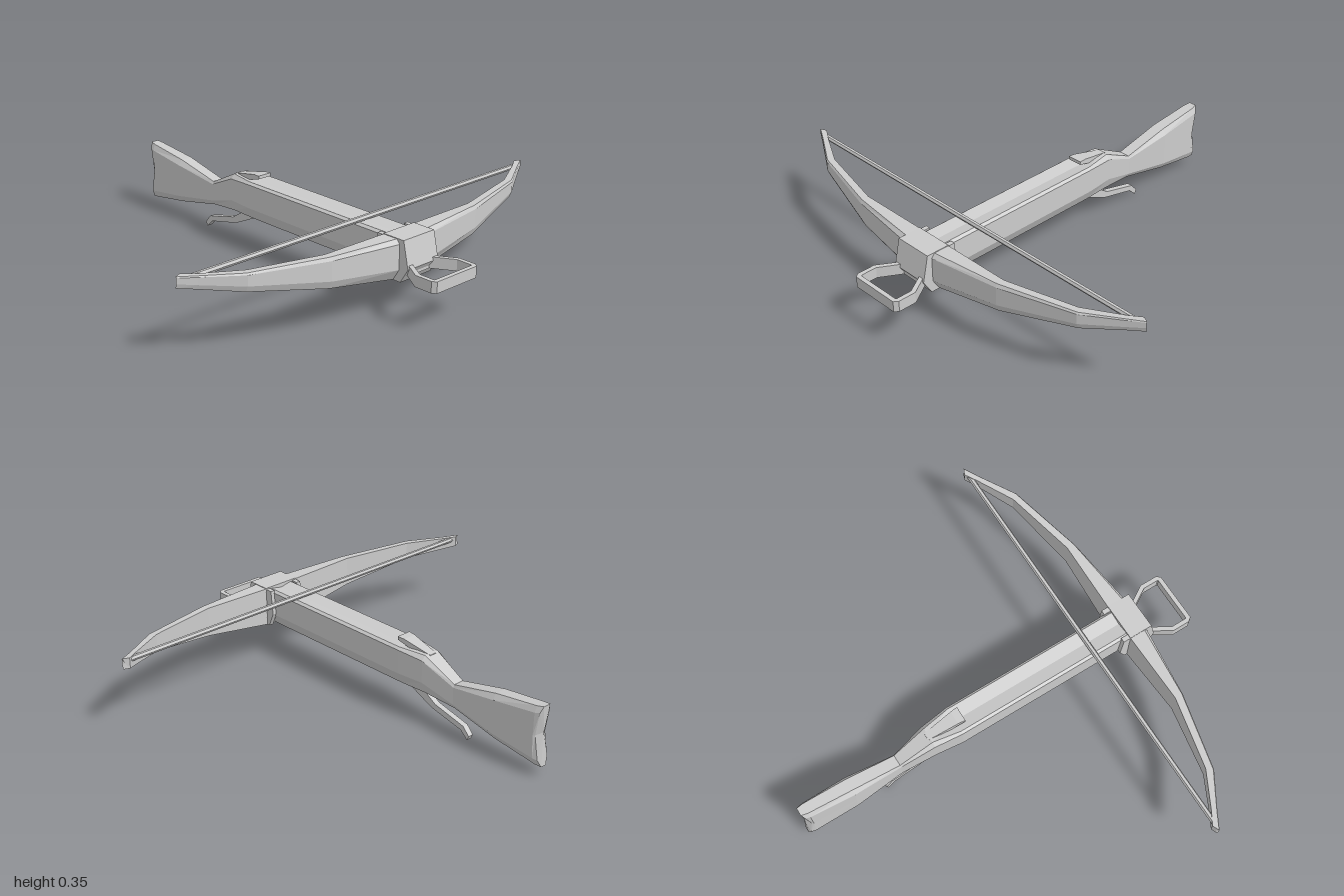
import * as THREE from 'three';

const material = new THREE.MeshStandardMaterial({ color: 0xcccccc, flatShading: true });

function part(name, geometry) {
  const mesh = new THREE.Mesh(geometry, material);
  mesh.name = name;
  return mesh;
}

// Skin between equal-length rings, closed with a fan at both ends.
// Rings run counter-clockwise as seen from the first ring's side.
function loft(rings) {
  const pos = [];
  const tri = (a, b, c) => [a, b, c].forEach((p) => pos.push(...p));
  const centre = (ring) => [0, 1, 2].map((k) => ring.reduce((s, p) => s + p[k], 0) / ring.length);
  const n = rings[0].length;
  const first = rings[0], last = rings[rings.length - 1];
  const c0 = centre(first), c1 = centre(last);
  for (let j = 0; j < n; j++) {
    const k = (j + 1) % n;
    for (let i = 0; i + 1 < rings.length; i++) {
      const a = rings[i][j], b = rings[i][k], c = rings[i + 1][k], d = rings[i + 1][j];
      tri(a, d, c);
      tri(a, c, b);
    }
    tri(c0, first[j], first[k]);
    tri(c1, last[k], last[j]);
  }
  const geo = new THREE.BufferGeometry();
  geo.setAttribute('position', new THREE.Float32BufferAttribute(pos, 3));
  geo.computeVertexNormals();
  return geo;
}

// Side outline given as [z, y], thickened across x.
function sideProfile(points, width) {
  const shape = new THREE.Shape(points.map(([z, y]) => new THREE.Vector2(z, y)));
  return new THREE.ExtrudeGeometry(shape, { depth: width, bevelEnabled: false })
    .translate(0, 0, -width / 2)
    .rotateY(-Math.PI / 2);
}

function stock() {
  // z, half width, half width of top, of bottom, y of top, upper edge, lower edge, bottom, groove, butt hollow
  const sections = [
    [0.72, 0.07, 0.058, 0.042, 0.32, 0.31, 0.2, 0.145, 0.012, 0],
    [-0.2, 0.07, 0.058, 0.042, 0.32, 0.31, 0.2, 0.145, 0.012, 0],
    [-0.33, 0.055, 0.036, 0.035, 0.32, 0.3, 0.198, 0.145, 0, 0],
    [-0.49, 0.032, 0.026, 0.018, 0.24, 0.228, 0.148, 0.126, 0, 0],
    [-0.72, 0.045, 0.028, 0.026, 0.29, 0.265, 0.112, 0.082, 0, 0],
    [-0.93, 0.036, 0.024, 0.02, 0.315, 0.288, 0.082, 0.049, 0, 0.005],
    [-0.96, 0.03, 0.018, 0.014, 0.32, 0.292, 0.078, 0.045, 0, 0.027],
  ];
  return loft(sections.map(([z, w, wt, wb, top, up, low, bot, groove, hollow]) => {
    const mid = (up + low) / 2;
    const zs = z + hollow * 0.35, zm = z + hollow;
    const right = [[wb, bot, z], [w, low, zs], [w, mid, zm], [w, up, zs], [wt, top, z]];
    const left = right.map(([x, y, zz]) => [-x, y, zz]).reverse();
    return [...right, [0, top - groove, z], ...left];
  }));
}

function bow() {
  // front x, front z, back x, back z, y of top, front edge, bottom
  const half = [
    [0.08, 0.735, 0.08, 0.645, 0.325, 0.195, 0.145],
    [0.42, 0.692, 0.42, 0.65, 0.33, 0.23, 0.196],
    [0.77, 0.605, 0.75, 0.575, 0.338, 0.285, 0.26],
    [0.93, 0.508, 0.915, 0.487, 0.343, 0.307, 0.288],
    [0.998, 0.469, 0.97, 0.453, 0.347, 0.318, 0.299],
  ];
  const ring = ([xf, zf, xb, zb, top, mid, bot], side) => {
    const lip = 0.35 * (zf - zb);
    const crown = (top - mid) * 0.15;
    return [[xb, bot, zb], [xf, bot, zf - lip], [xf, mid, zf], [xf, top - crown, zf],
      [xf, top, zf - lip * 0.5], [xb, top, zb]].map(([x, y, z]) => [x * side, y, z]);
  };
  return loft([
    ...half.slice().reverse().map((s) => ring(s, -1)),
    ...half.map((s) => ring(s, 1)),
  ]);
}

function stirrup() {
  const outline = (points) => [...points, ...points.map(([x, z]) => [-x, z]).reverse()]
    .map(([x, z]) => new THREE.Vector2(x, z));
  const shape = new THREE.Shape(outline([
    [0.066, 0.755], [0.13, 0.858], [0.13, 0.942], [0.116, 0.96]]));
  shape.holes.push(new THREE.Path(outline([
    [0.052, 0.768], [0.11, 0.864], [0.11, 0.936], [0.107, 0.94]])));
  return new THREE.ExtrudeGeometry(shape, { depth: 0.05, bevelEnabled: false })
    .rotateX(Math.PI / 2)
    .translate(0, 0.225, 0);
}

function nut() {
  // Tapered catch with its nose lifted clear of the stock
  const geo = sideProfile([[-0.165, 0.35], [-0.2, 0.348], [-0.34, 0.318], [-0.34, 0.305],
    [-0.24, 0.312], [-0.2, 0.325], [-0.165, 0.335]], 0.07);
  const p = geo.attributes.position;
  for (let i = 0; i < p.count; i++) {
    const t = THREE.MathUtils.clamp((-0.165 - p.getZ(i)) / 0.175, 0, 1);
    p.setX(i, p.getX(i) * (1 - 0.5 * t));
  }
  geo.computeVertexNormals();
  return geo;
}

export function createModel() {
  const model = new THREE.Group();
  model.name = 'crossbow';

  model.add(part('stock', stock()), part('bowLimbs', bow()));

  // Head block that clamps the limbs to the stock
  model.add(part('headBlock', sideProfile([[0.755, 0.328], [0.782, 0.21], [0.742, 0.145],
    [0.645, 0.145], [0.645, 0.328]], 0.178)));
  for (const side of [-1, 1]) {
    const strap = part(side > 0 ? 'leftStrap' : 'rightStrap', sideProfile([[0.65, 0.145],
      [0.65, 0.322], [0.612, 0.322], [0.602, 0.21], [0.632, 0.145]], 0.022));
    strap.position.x = side * 0.077;
    model.add(strap);
  }

  model.add(part('stirrup', stirrup()));

  // String between the limb tips
  const string = part('string', new THREE.CylinderGeometry(0.012, 0.012, 1.93, 6));
  string.rotation.z = Math.PI / 2;
  string.position.set(0, 0.33, 0.472);
  model.add(string);

  model.add(part('nut', nut()));

  // Long trigger lever under the stock
  model.add(part('trigger', sideProfile([[-0.18, 0.15], [-0.35, 0.072], [-0.52, 0.034],
    [-0.558, 0], [-0.567, 0.02], [-0.535, 0.056], [-0.37, 0.096], [-0.285, 0.15]], 0.026)));

  return model;
}
